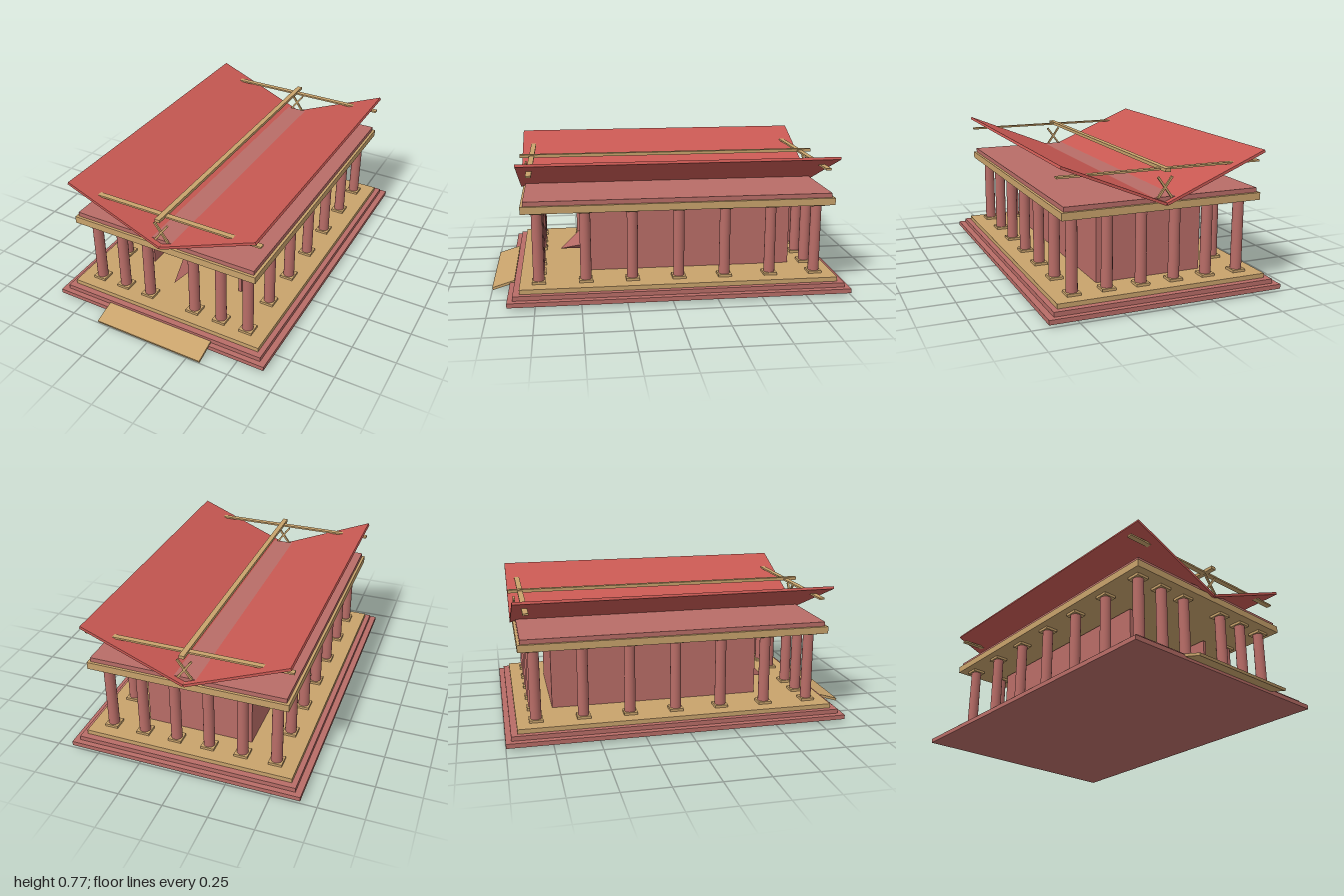
import * as THREE from 'three';

const CZ = -0.05; // middle of the building along z

export function createModel() {
  const model = new THREE.Group();
  model.name = 'temple';
  const mat = (name, color) => {
    const m = new THREE.MeshStandardMaterial({ color });
    m.name = name;
    return m;
  };
  const terracotta = mat('terracotta', 0xb96d67);
  const sandstone = mat('sandstone', 0xc9a36c);
  const red = mat('roofRed', 0xc95953);

  const add = (name, geo, material, x, y, z, parent = model) => {
    const m = new THREE.Mesh(geo, material);
    m.name = name;
    m.position.set(x, y, z);
    parent.add(m);
    return m;
  };
  // Box given by its size and its bottom height
  const box = (name, material, w, h, d, x, y0, z, parent) =>
    add(name, new THREE.BoxGeometry(w, h, d), material, x, y0 + h / 2, z, parent);

  // Stepped platform and entrance ramp
  box('lowerStep', terracotta, 1.32, 0.025, 1.9, 0, 0.015, CZ);
  box('upperStep', terracotta, 1.25, 0.025, 1.84, 0, 0.04, CZ);
  box('floor', sandstone, 1.19, 0.025, 1.77, 0, 0.065, CZ);
  const ramp = box('ramp', sandstone, 0.66, 0.015, 0.132, 0, 0.02, 0.935);
  ramp.rotation.x = 0.3;

  // Columns with square base and capital
  const shaft = new THREE.CylinderGeometry(0.03, 0.031, 0.384, 20);
  const slab = new THREE.BoxGeometry(0.076, 0.014, 0.076);
  const column = (x, z) => {
    const g = new THREE.Group();
    g.name = 'column';
    g.position.set(x, 0, z);
    add('base', slab, sandstone, 0, 0.097, 0, g);
    add('shaft', shaft, terracotta, 0, 0.296, 0, g);
    add('capital', slab, sandstone, 0, 0.493, 0, g);
    model.add(g);
  };
  for (let i = 0; i < 7; i++) for (const s of [-1, 1]) column(0.48 * s, CZ + 0.78 - 0.26 * i);
  for (const s of [-1, 1]) {
    for (const x of [0.147, 0.315]) column(x * s, CZ + 0.78);
    for (const x of [0.096, 0.288]) column(x * s, CZ - 0.78);
  }

  // Inner chamber, open to the front
  for (const s of [-1, 1]) box('chamberSideWall', terracotta, 0.02, 0.397, 1.2, 0.295 * s, 0.09, -0.127);
  box('chamberBackWall', terracotta, 0.59, 0.397, 0.02, 0, 0.09, -0.717);

  // Altar and braziers
  box('altarBase', sandstone, 0.23, 0.035, 0.16, 0, 0.09, -0.5);
  box('altarBlock', terracotta, 0.18, 0.085, 0.12, 0, 0.09, -0.46);
  box('altarTop', sandstone, 0.19, 0.008, 0.14, 0, 0.175, -0.46);
  for (const s of [-1, 1]) {
    add('pedestal', new THREE.CylinderGeometry(0.037, 0.037, 0.07, 20), sandstone, 0.213 * s, 0.125, -0.4);
    add('brazierOrb', new THREE.SphereGeometry(0.03, 20, 14), red, 0.213 * s, 0.175, -0.4);
  }

  // Slanted wedge in the doorway
  const A = [-0.063, 0.11, 0.61], B = [-0.063, 0.365, 0.35];
  const C = [0.06, 0.195, 0.33], D = [-0.063, 0.11, 0.35];
  const wedge = new THREE.BufferGeometry();
  const faces = [A, C, B, A, D, C, A, B, D, B, C, D].flat();
  wedge.setAttribute('position', new THREE.Float32BufferAttribute(faces, 3));
  wedge.computeVertexNormals();
  add('doorwayWedge', wedge, terracotta, 0, 0, 0);

  // Beam and frieze on the columns
  box('entablature', sandstone, 1.12, 0.04, 1.73, 0, 0.5, CZ);
  box('frieze', terracotta, 1.09, 0.025, 1.7, 0, 0.54, CZ);

  // Two roof planes rising outwards
  const pitch = Math.atan2(0.235, 0.57);
  for (const s of [-1, 1]) {
    const roof = add('roofPlane', new THREE.BoxGeometry(0.612, 0.015, 1.76), red, 0.285 * s, 0.649, CZ);
    roof.rotation.z = pitch * s;
  }

  // Ridge pole, cross bars and crossed finials
  box('ridgePole', sandstone, 0.03, 0.018, 1.765, 0, 0.7, CZ);
  for (const e of [-1, 1]) {
    box('crossBar', sandstone, 1.14, 0.01, 0.03, 0, 0.7, CZ + 0.813 * e);
    for (const s of [-1, 1]) {
      const stick = add('finialStick', new THREE.BoxGeometry(0.011, 0.135, 0.011), sandstone, 0, 0.615, CZ + 0.85 * e);
      stick.rotation.z = 0.63 * s;
    }
  }
  return model;
}
